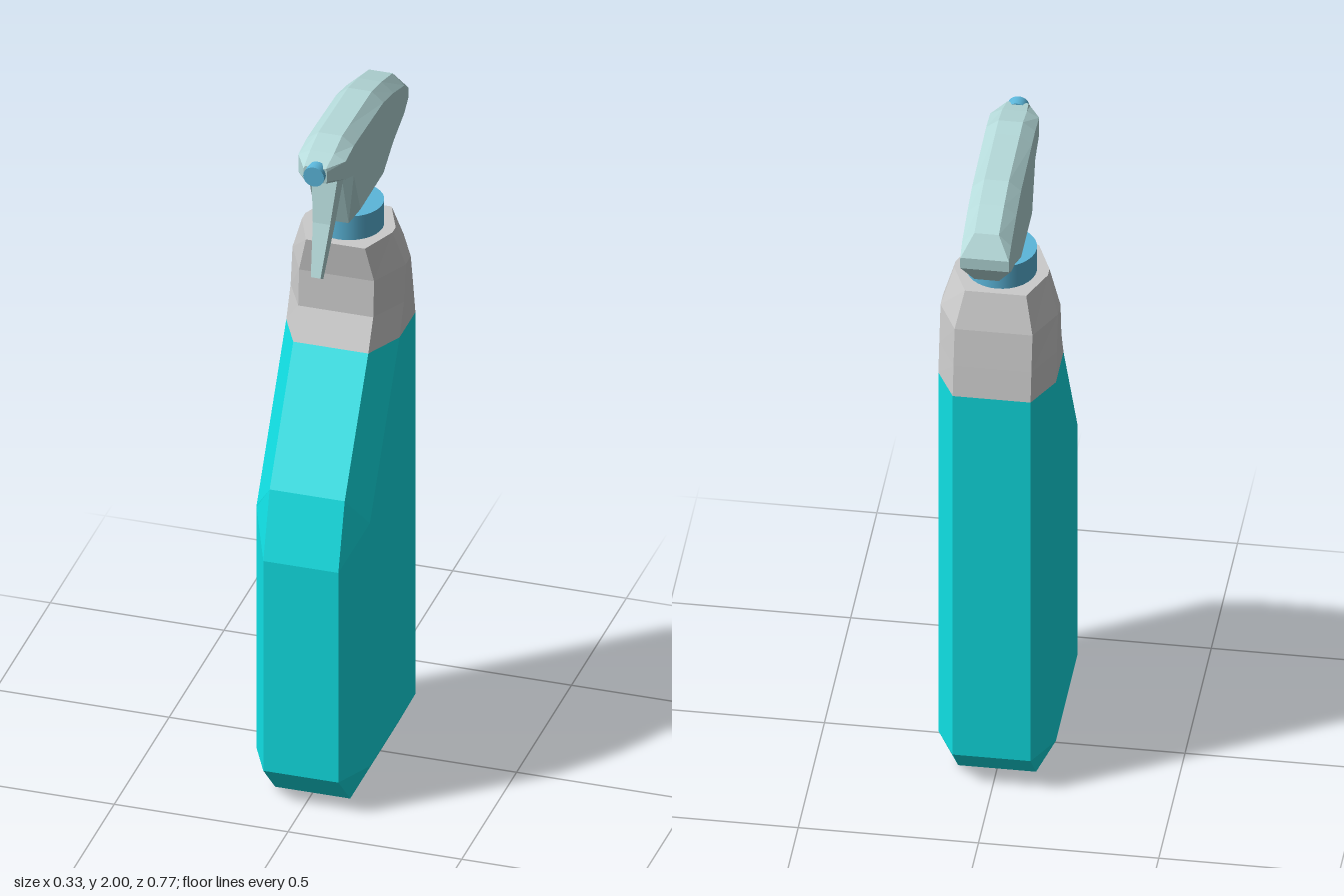
import * as THREE from 'three';

const material = (color) => new THREE.MeshStandardMaterial({ color, flatShading: true });

// Skin a closed, capped surface over rings of points (each ring counter-clockwise seen from the next one)
function loft(rings) {
  const pos = [];
  const tri = (...pts) => pts.forEach((p) => pos.push(...p));
  const n = rings[0].length;
  for (let r = 0; r < rings.length - 1; r++) {
    const a = rings[r], b = rings[r + 1];
    for (let i = 0; i < n; i++) {
      const j = (i + 1) % n;
      tri(a[i], a[j], b[j]);
      tri(a[i], b[j], b[i]);
    }
  }
  const first = rings[0], last = rings[rings.length - 1];
  for (let i = 1; i < n - 1; i++) {
    tri(first[0], first[i + 1], first[i]);
    tri(last[0], last[i], last[i + 1]);
  }
  const geo = new THREE.BufferGeometry();
  geo.setAttribute('position', new THREE.Float32BufferAttribute(pos, 3));
  geo.computeVertexNormals();
  return geo;
}

// Horizontal octagon: inner corners (xi, front/back), outer corners (xo, sideFront/sideBack)
const bottleRing = ([y, xi, xo, front, sideFront, sideBack, back, sideY = y]) => [
  [xo, sideY, sideFront], [xo, sideY, sideBack], [xi, y, back], [-xi, y, back],
  [-xo, sideY, sideBack], [-xo, sideY, sideFront], [-xi, y, front], [xi, y, front],
];

// Upright octagon across the spray head at depth z
const headRing = ([z, wi, wo, top, shoulder, low, bottom]) => [
  [wo, low, z], [wo, shoulder, z], [wi, top, z], [-wi, top, z],
  [-wo, shoulder, z], [-wo, low, z], [-wi, bottom, z], [wi, bottom, z],
];

// Trigger section from front edge to back edge
const triggerRing = ([w, frontY, frontZ, backY, backZ]) => [
  [w, frontY, frontZ], [w, backY, backZ], [-w, backY, backZ], [-w, frontY, frontZ],
];

export function createModel() {
  const group = new THREE.Group();
  const add = (name, geometry, mat) => {
    const mesh = new THREE.Mesh(geometry, mat);
    mesh.name = name;
    group.add(mesh);
    return mesh;
  };
  const teal = material(0x10e0e4);
  const grey = material(0xcccccc);
  const pale = material(0xb5dada);
  const blue = material(0x5bb6da);

  // Liquid-filled lower bottle with a sloped front
  add('bottleBody', loft([
    [0, 0.108, 0.108, 0.275, 0.275, -0.145, -0.145],
    [0.11, 0.108, 0.163, 0.383, 0.27, -0.145, -0.25],
    [0.775, 0.108, 0.163, 0.383, 0.27, -0.145, -0.25, 0.875],
    [0.97, 0.108, 0.163, 0.325, 0.27, -0.145, -0.25, 0.88],
    [1.32, 0.108, 0.163, 0.11, 0, -0.145, -0.25],
  ].map(bottleRing)), teal);

  // Empty upper bottle
  add('bottleNeck', loft([
    [1.32, 0.108, 0.163, 0.11, 0, -0.145, -0.25],
    [1.41, 0.108, 0.163, 0.065, -0.04, -0.127, -0.234],
    [1.52, 0.108, 0.163, 0.057, -0.057, -0.103, -0.213],
    [1.625, 0.085, 0.13, 0.068, -0.04, -0.07, -0.175],
  ].map(bottleRing)), grey);

  // Screw collar
  const smoothBlue = blue.clone();
  smoothBlue.flatShading = false;
  add('collar', new THREE.CylinderGeometry(0.097, 0.097, 0.08, 32), smoothBlue)
    .position.set(0, 1.66, -0.056);

  // Spray head, from back to front
  add('sprayHead', loft([
    [-0.383, 0.067, 0.068, 1.885, 1.88, 1.855, 1.85],
    [-0.345, 0.034, 0.068, 1.945, 1.912, 1.825, 1.79],
    [-0.245, 0.034, 0.068, 1.973, 1.943, 1.79, 1.745],
    [-0.155, 0.034, 0.068, 1.992, 1.963, 1.74, 1.69],
    [0.055, 0.034, 0.068, 1.998, 1.972, 1.74, 1.69],
    [0.115, 0.034, 0.068, 2.0, 1.974, 1.88, 1.862],
    [0.19, 0.034, 0.068, 1.984, 1.966, 1.91, 1.895],
    [0.25, 0.03, 0.034, 1.968, 1.96, 1.93, 1.922],
  ].map(headRing)), pale);

  // Trigger lever, from the tip up
  add('trigger', loft([
    [0.014, 1.617, 0.248, 1.602, 0.222],
    [0.025, 1.76, 0.195, 1.74, 0.15],
    [0.038, 1.9, 0.165, 1.88, 0.105],
  ].map(triggerRing)), pale);

  // Nozzle
  const nozzle = add('nozzle', new THREE.CylinderGeometry(0.03, 0.03, 0.035, 24), smoothBlue);
  nozzle.rotation.x = Math.PI / 2;
  nozzle.position.set(0, 1.947, 0.249);

  return group;
}
